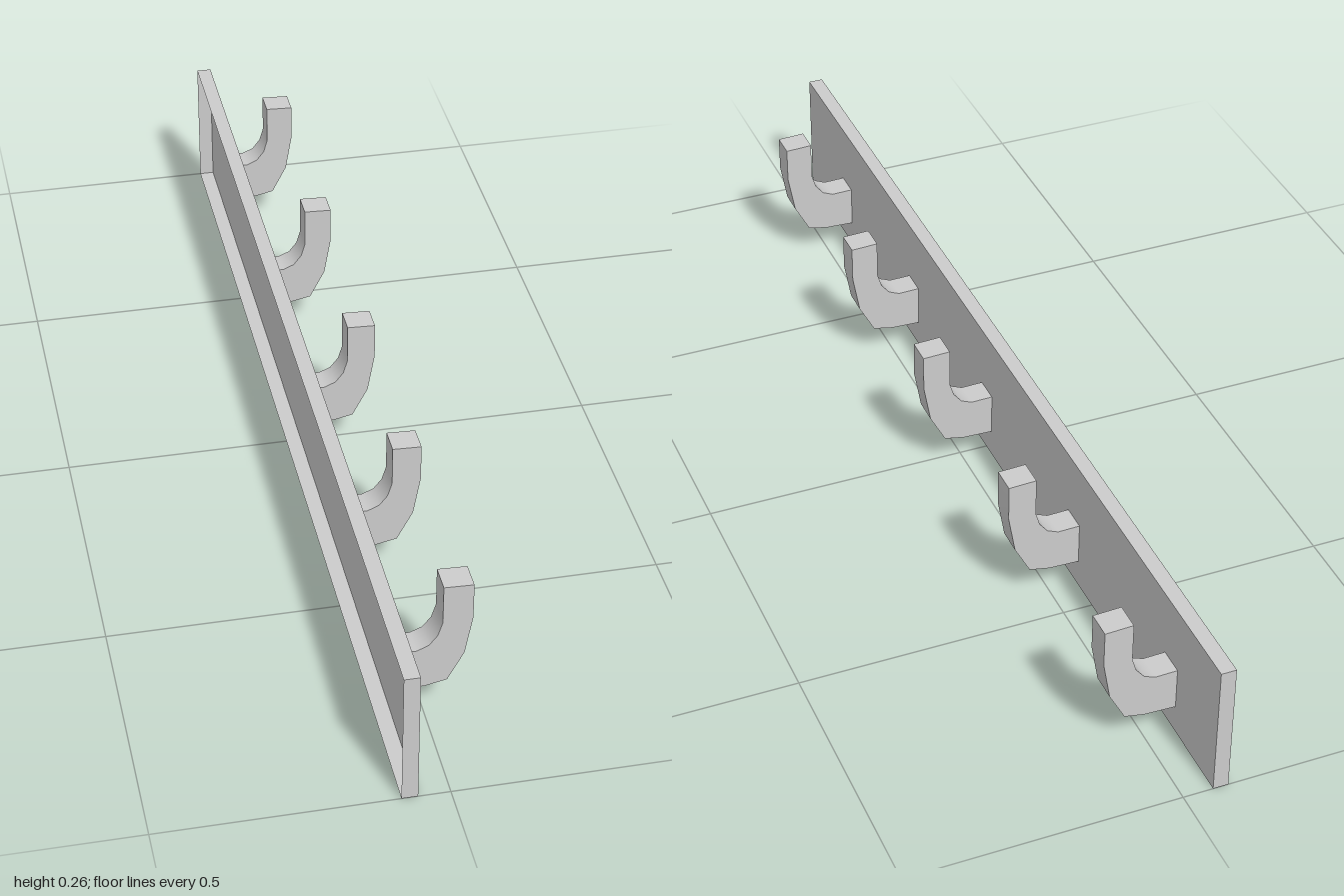
import * as THREE from 'three';
import { toCreasedNormals } from 'three/addons/utils/BufferGeometryUtils.js';

const material = new THREE.MeshStandardMaterial({ color: 0xcccccc, side: THREE.DoubleSide });

// Shallow wall board, open at the back (-x)
function createBoard() {
  const geometry = new THREE.BoxGeometry(0.028, 0.256, 2);
  const index = Array.from(geometry.index.array);
  index.splice(6, 6); // drop the -x face
  geometry.setIndex(index);
  geometry.clearGroups();
  const board = new THREE.Mesh(geometry, material);
  board.name = 'wallBoard';
  board.position.set(-0.069, 0.128, 0);
  return board;
}

// J-shaped hook: side profile extruded across its width
function createHookGeometry(width) {
  const profile = [
    [-0.055, 0.053], [0.002, 0.055], [0.04, 0.063], [0.069, 0.118],
    [0.082, 0.192], [0.082, 0.261], [0.03, 0.263], [0.03, 0.188],
    [0.022, 0.162], [0.007, 0.143], [-0.014, 0.134], [-0.055, 0.135],
  ].map(([x, y]) => new THREE.Vector2(x, y));
  const geometry = new THREE.ExtrudeGeometry(new THREE.Shape(profile), { depth: width, bevelEnabled: false });
  geometry.translate(0, 0, -width / 2);
  return toCreasedNormals(geometry, 1.0);
}

export function createModel() {
  const model = new THREE.Group();
  model.name = 'coatRack';
  model.add(createBoard());

  // Row of hooks along the board
  const hookGeometry = createHookGeometry(0.05);
  [0.773, 0.385, 0, -0.412, -0.822].forEach((z, i) => {
    const hook = new THREE.Mesh(hookGeometry, material);
    hook.name = `hook${i + 1}`;
    hook.position.z = z;
    model.add(hook);
  });
  return model;
}
